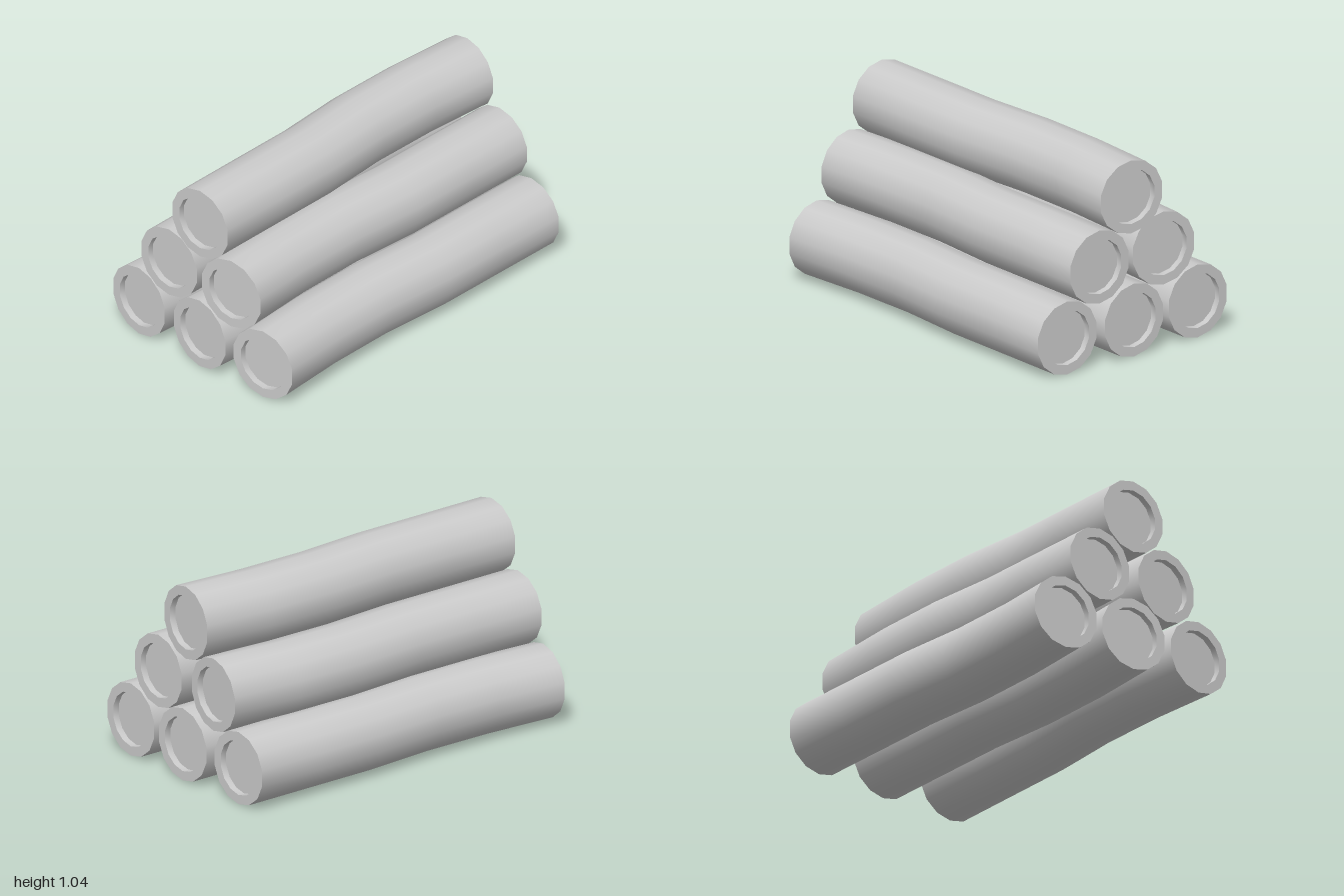
import * as THREE from 'three';

const SIDES = 14, RADIUS = 0.195, HOLE = 0.145, RECESS = 0.035;
// sideways bend of a log at six stations, from its bent end to its straight end
const BEND = [0, 0.027, 0.03, 0.003, 0.002, 0];

// one 14-sided ring of points around a frame {x, y, z, nx, nz}; depth moves it along the axis
function ring(f, radius, depth = 0) {
  const pts = [];
  for (let j = 0; j < SIDES; j++) {
    const a = Math.PI / 2 + (j / SIDES) * Math.PI * 2;
    const u = Math.cos(a) * radius, v = Math.sin(a) * radius;
    pts.push(f.x + u * f.nz + depth * f.nx, f.y + v, f.z - u * f.nx + depth * f.nz);
  }
  return pts;
}

// smooth skin through a list of rings
function loft(rings) {
  const index = [];
  for (let i = 0; i < rings.length - 1; i++) {
    for (let j = 0; j < SIDES; j++) {
      const k = (j + 1) % SIDES;
      const a = i * SIDES + j, b = i * SIDES + k, c = a + SIDES, d = b + SIDES;
      index.push(a, c, b, b, c, d);
    }
  }
  const geo = new THREE.BufferGeometry();
  geo.setAttribute('position', new THREE.Float32BufferAttribute(rings.flat(), 3));
  geo.setIndex(index);
  geo.computeVertexNormals();
  return geo;
}

// bend: sideways sign; flip: the bent end is at the back instead of the front
function makeLog(name, { x, y, front, back, bend, flip }, material) {
  const log = new THREE.Group();
  log.name = name;
  const add = (part, rings) => {
    const mesh = new THREE.Mesh(loft(rings), material);
    mesh.name = part;
    log.add(mesh);
  };

  // stations from front to back, each square to the centre line
  const n = BEND.length;
  const frames = BEND.map((_, i) => ({
    x: x + bend * BEND[flip ? n - 1 - i : i],
    y,
    z: front + (back - front) * (i / (n - 1)),
  }));
  frames.forEach((f, i) => {
    const p = frames[Math.max(i - 1, 0)], q = frames[Math.min(i + 1, n - 1)];
    const len = Math.hypot(p.x - q.x, p.z - q.z);
    f.nx = (p.x - q.x) / len;
    f.nz = (p.z - q.z) / len;
  });

  add('bark', frames.map((f) => ring(f, RADIUS)));

  // rim, recess wall and sunken disc at both ends
  for (const end of ['front', 'back']) {
    const f = end === 'front' ? frames[0] : frames[n - 1];
    const depth = end === 'front' ? -RECESS : RECESS;
    const order = (list) => (end === 'front' ? list : list.reverse());
    add(end + 'Rim', order([ring(f, HOLE), ring(f, RADIUS)]));
    add(end + 'RecessWall', order([ring(f, HOLE, depth), ring(f, HOLE)]));
    add(end + 'Disc', order([ring(f, 0, depth), ring(f, HOLE, depth)]));
  }
  return log;
}

export function createModel() {
  const model = new THREE.Group();
  model.name = 'logPile';
  const material = new THREE.MeshStandardMaterial({ color: 0xcccccc });
  const rows = [0.195, 0.523, 0.847];
  const logs = {
    bottomRightLog: { x: -0.43, y: rows[0], front: 0.975, back: -0.982, bend: 1, flip: false },
    bottomMiddleLog: { x: 0, y: rows[0], front: 0.988, back: -0.998, bend: 1, flip: false },
    bottomLeftLog: { x: 0.43, y: rows[0], front: 0.98, back: -0.99, bend: -1, flip: false },
    middleRightLog: { x: -0.215, y: rows[1], front: 0.983, back: -0.972, bend: -1, flip: true },
    middleLeftLog: { x: 0.215, y: rows[1], front: 0.985, back: -0.985, bend: -1, flip: false },
    topLog: { x: 0, y: rows[2], front: 0.985, back: -0.978, bend: -1, flip: true },
  };
  for (const [name, spec] of Object.entries(logs)) model.add(makeLog(name, spec, material));
  return model;
}
